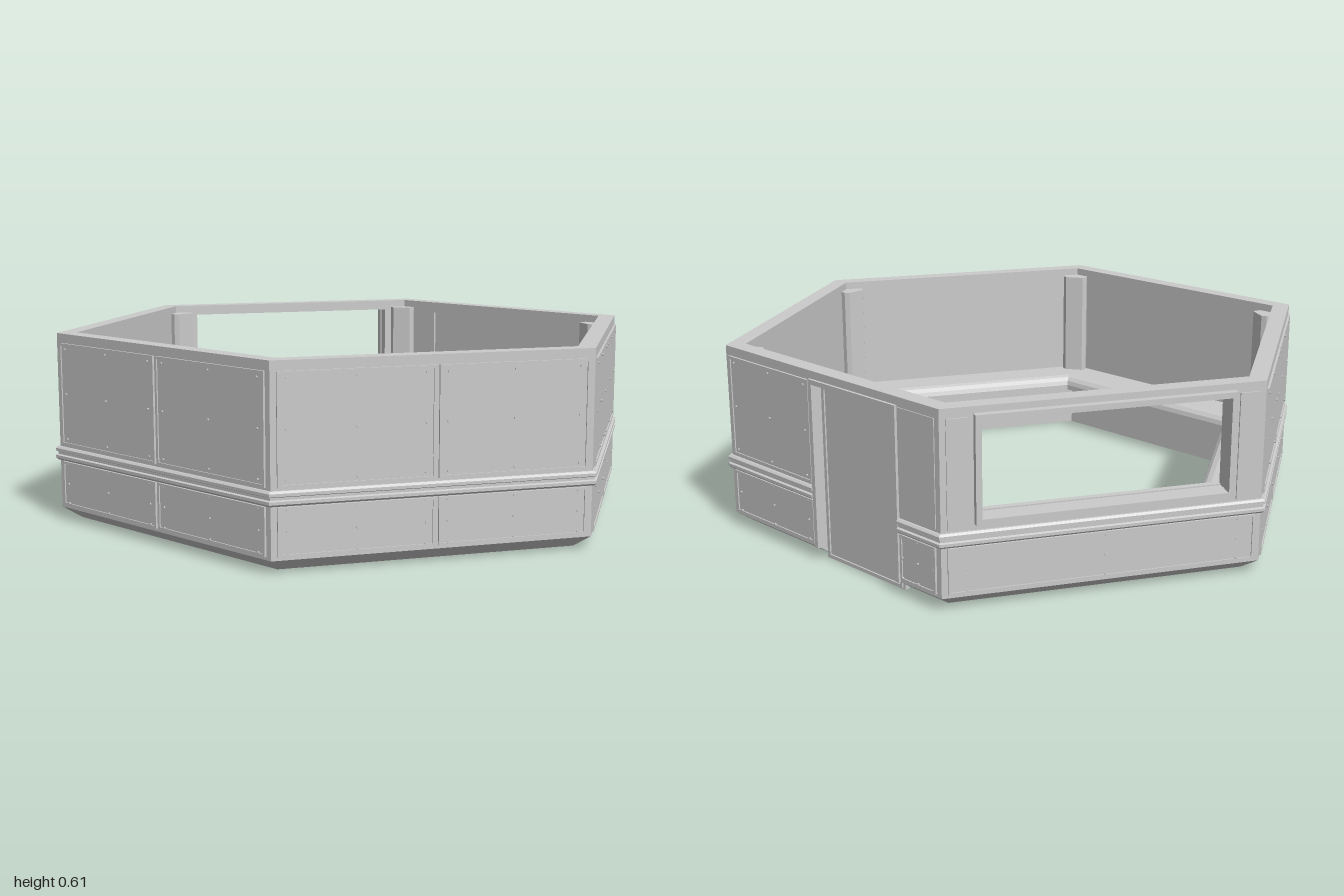
import * as THREE from 'three';
import { mergeGeometries } from 'three/addons/utils/BufferGeometryUtils.js';

const MAT = new THREE.MeshStandardMaterial({ color: 0xcccccc });
const T30 = Math.tan(Math.PI / 6);
const OUT = 0.855, IN = 0.8, TOP = 0.61;   // wall faces (distance from centre) and height

// Prism along one side of the hexagon. Profile points are [distance from centre, height].
// a, b are the ends along the side; null means mitred into the corner.
function prism(profile, a = null, b = null) {
  const shape = new THREE.Shape(profile.map(([x, y]) => new THREE.Vector2(x, y)));
  const geo = new THREE.ExtrudeGeometry(shape, { depth: 1, bevelEnabled: false });
  const p = geo.attributes.position;
  for (let i = 0; i < p.count; i++) {
    const m = p.getX(i) * T30;
    p.setZ(i, p.getZ(i) < 0.5 ? (a ?? -m) : (b ?? m));
  }
  geo.computeVertexNormals();
  return geo;
}
const rect = (x0, x1, y0, y1) => [[x0, y0], [x1, y0], [x1, y1], [x0, y1]];
const block = (x0, x1, y0, y1, a, b) => prism(rect(x0, x1, y0, y1), a, b);

function add(parent, name, geos) {
  const mesh = new THREE.Mesh(mergeGeometries(geos), MAT);
  mesh.name = name;
  parent.add(mesh);
}

// Wall with chamfered foot and a bench overhanging a recessed plinth
const wallWithBench = top => [
  [0.73, 0], [IN, 0], [OUT, 0.04], [OUT, top], [IN, top], [IN, 0.21],
  [0.685, 0.21], [0.668, 0.205], [0.655, 0.193], [0.65, 0.178], [0.65, 0.16], [0.73, 0.16],
];
const wallOnly = [[0.76, 0], [IN, 0], [OUT, 0.04], [OUT, TOP], [IN, TOP], [IN, 0.04], [0.76, 0.04]];
const belt = [
  [0.85, 0.198], [0.862, 0.198], [0.868, 0.204], [0.868, 0.213], [0.861, 0.216],
  [0.861, 0.224], [0.868, 0.227], [0.868, 0.236], [0.862, 0.242], [0.85, 0.242],
];

// Rectangular border made of four bars
function border(x0, x1, y0, y1, a, b, w) {
  return [
    block(x0, x1, y0, y0 + w, a, b), block(x0, x1, y1 - w, y1, a, b),
    block(x0, x1, y0 + w, y1 - w, a, a + w), block(x0, x1, y0 + w, y1 - w, b - w, b),
  ];
}

// Cladding plate with raised border and a few rivets
function panel(y0, y1, a, b) {
  const geos = [block(0.85, 0.858, y0, y1, a, b), ...border(0.85, 0.862, y0, y1, a, b, 0.008)];
  for (const u of [0.06, 0.5, 0.94]) {
    for (const v of [0.06, 0.5, 0.94]) {
      const rivet = new THREE.CylinderGeometry(0.004, 0.004, 0.008, 6).toNonIndexed();
      rivet.rotateZ(-Math.PI / 2);
      rivet.translate(0.859, y0 + (y1 - y0) * v, a + (b - a) * u);
      geos.push(rivet);
    }
  }
  return geos;
}
const LOW = [0.05, 0.195], HIGH = [0.25, 0.58];

function plainSide(g) {
  add(g, 'wallAndBench', [prism(wallWithBench(TOP))]);
  add(g, 'belt', [prism(belt)]);
  const geos = [];
  for (const [a, b] of [[-0.475, -0.005], [0.005, 0.475]]) geos.push(...panel(...LOW, a, b), ...panel(...HIGH, a, b));
  add(g, 'panels', geos);
}

function windowSide(g) {
  const y0 = 0.28, y1 = 0.575, w = 0.38;
  add(g, 'wallAndBench', [
    prism(wallWithBench(y0)),
    block(IN, OUT, y1, TOP),
    block(IN, OUT, y0, y1, null, -w),
    block(IN, OUT, y0, y1, w, null),
  ]);
  add(g, 'belt', [prism(belt)]);
  add(g, 'windowFrame', border(0.845, 0.878, y0 - 0.018, y1 + 0.015, -w - 0.015, w + 0.015, 0.018));
  add(g, 'windowSill', [
    block(0.788, 0.81, 0.262, 0.284, -w - 0.01, w + 0.01),
    block(0.792, 0.81, 0.235, 0.248, -w - 0.01, w + 0.01),
  ]);
  add(g, 'panels', [
    ...panel(...LOW, -0.475, 0.475),
    block(0.85, 0.86, ...HIGH, -0.475, -0.41),
    block(0.85, 0.86, ...HIGH, 0.41, 0.475),
  ]);
}

function doorSide(g) {
  const a = -0.305, b = 0.055, top = 0.57;   // door opening
  const gapA = -0.335, gapB = 0.113;         // gap in the bench
  add(g, 'wallAndBench', [
    prism(wallWithBench(TOP), null, gapA),
    prism(wallWithBench(TOP), gapB, null),
    prism(wallOnly.slice(1, 5), gapA, a),
    prism(wallOnly.slice(1, 5), b, gapB),
    block(IN, OUT, top, TOP, a, b),
  ]);
  add(g, 'belt', [prism(belt, null, a - 0.015), prism(belt, b + 0.015, null)]);
  add(g, 'door', [
    block(0.808, 0.826, 0, top, a, b),
    ...border(0.82, 0.831, 0.005, top - 0.008, a + 0.008, b - 0.008, 0.01),
  ]);
  add(g, 'doorFrame', [
    block(0.845, 0.864, 0.04, top + 0.015, a - 0.015, a),
    block(0.845, 0.864, 0.04, top + 0.015, b, b + 0.015),
    block(0.845, 0.864, top, top + 0.015, a, b),
  ]);
  add(g, 'panels', [
    ...panel(...LOW, -0.475, a - 0.02), ...panel(...LOW, b + 0.02, 0.475),
    ...panel(...HIGH, b + 0.02, 0.475),
    block(0.85, 0.858, ...HIGH, -0.475, a - 0.02),
  ]);
}

export function createModel() {
  const model = new THREE.Group();
  model.name = 'hexagonalCabin';

  // Six sides: four plain, one with a window, one with a door
  for (let k = 0; k < 6; k++) {
    const side = new THREE.Group();
    side.rotation.y = -k * Math.PI / 3;
    if (k === 4) { side.name = 'windowSide'; windowSide(side); }
    else if (k === 5) { side.name = 'doorSide'; doorSide(side); }
    else { side.name = 'plainSide'; plainSide(side); }
    model.add(side);

    // Post in the inner corner, with bevelled edges
    const s = new THREE.Shape();
    [[0.94, -0.045], [0.94, 0.045], [0.88, 0.045], [0.866, 0.033], [0.866, -0.033], [0.88, -0.045]]
      .forEach(([x, y], i) => (i ? s.lineTo(x, y) : s.moveTo(x, y)));
    const geo = new THREE.ExtrudeGeometry(s, { depth: 0.385, bevelEnabled: false });
    geo.rotateX(-Math.PI / 2);
    const post = new THREE.Mesh(geo, MAT);
    post.name = 'cornerPost';
    post.position.y = 0.2;
    post.rotation.y = -(k + 0.5) * Math.PI / 3;
    model.add(post);
  }
  return model;
}
